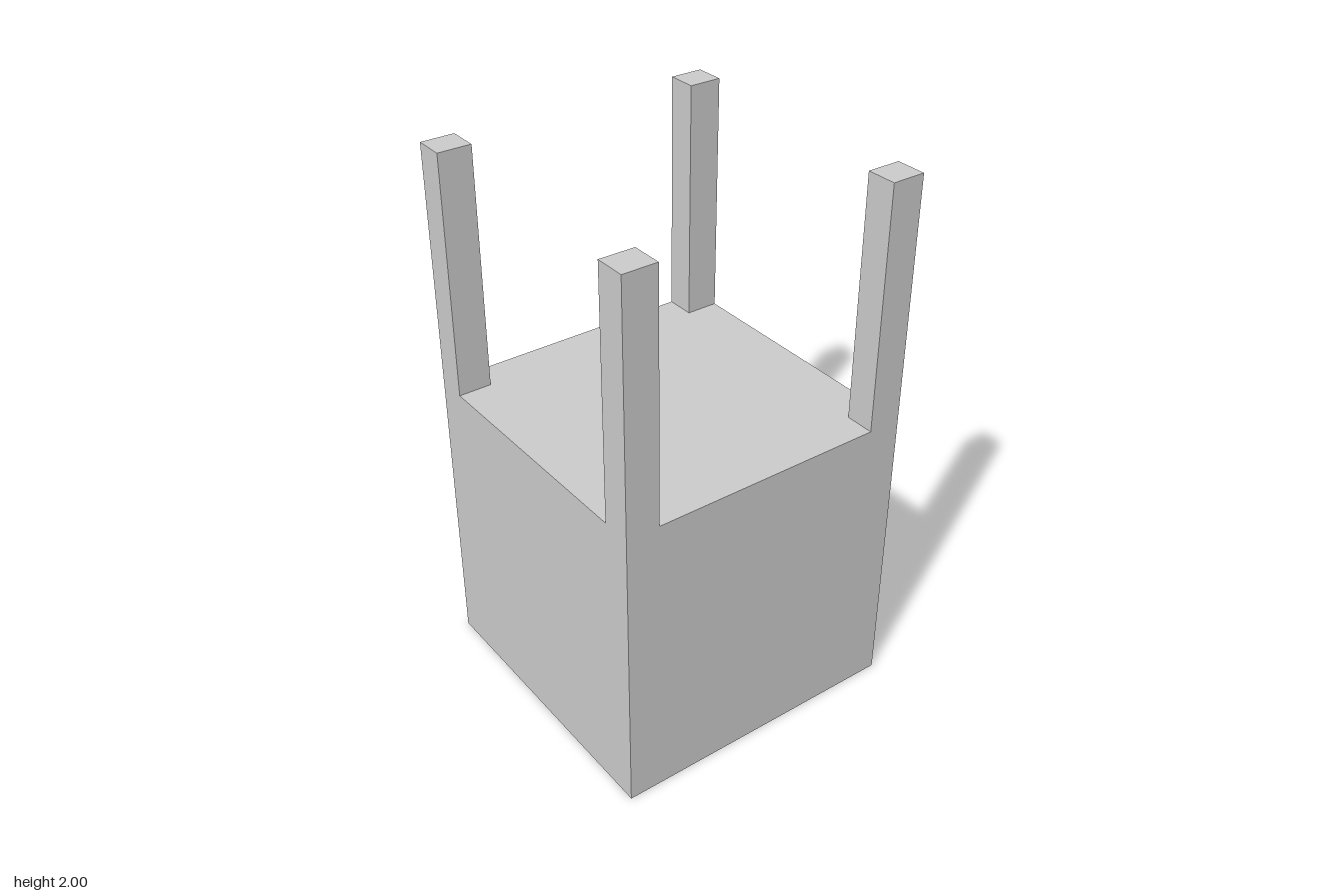
import * as THREE from 'three';

export function createModel() {
  const group = new THREE.Group();
  const material = new THREE.MeshStandardMaterial({ color: 0xcccccc, flatShading: true });

  const size = 1.11;               // cubic body
  const height = 2;                // overall height
  const postX = 0.11, postZ = 0.123;

  // Box standing on the given base height
  function addBox(name, w, h, d, x, baseY, z) {
    const mesh = new THREE.Mesh(new THREE.BoxGeometry(w, h, d), material);
    mesh.name = name;
    mesh.position.set(x, baseY + h / 2, z);
    group.add(mesh);
  }

  // Solid block
  addBox('body', size, size, size, 0, 0, 0);

  // Four corner posts, flush with the block's outer faces
  for (const [sideName, sx] of [['Left', 1], ['Right', -1]]) {
    for (const [endName, sz] of [['front', 1], ['back', -1]]) {
      addBox(`${endName}${sideName}Post`, postX, height - size, postZ,
        sx * (size - postX) / 2, size, sz * (size - postZ) / 2);
    }
  }

  return group;
}
